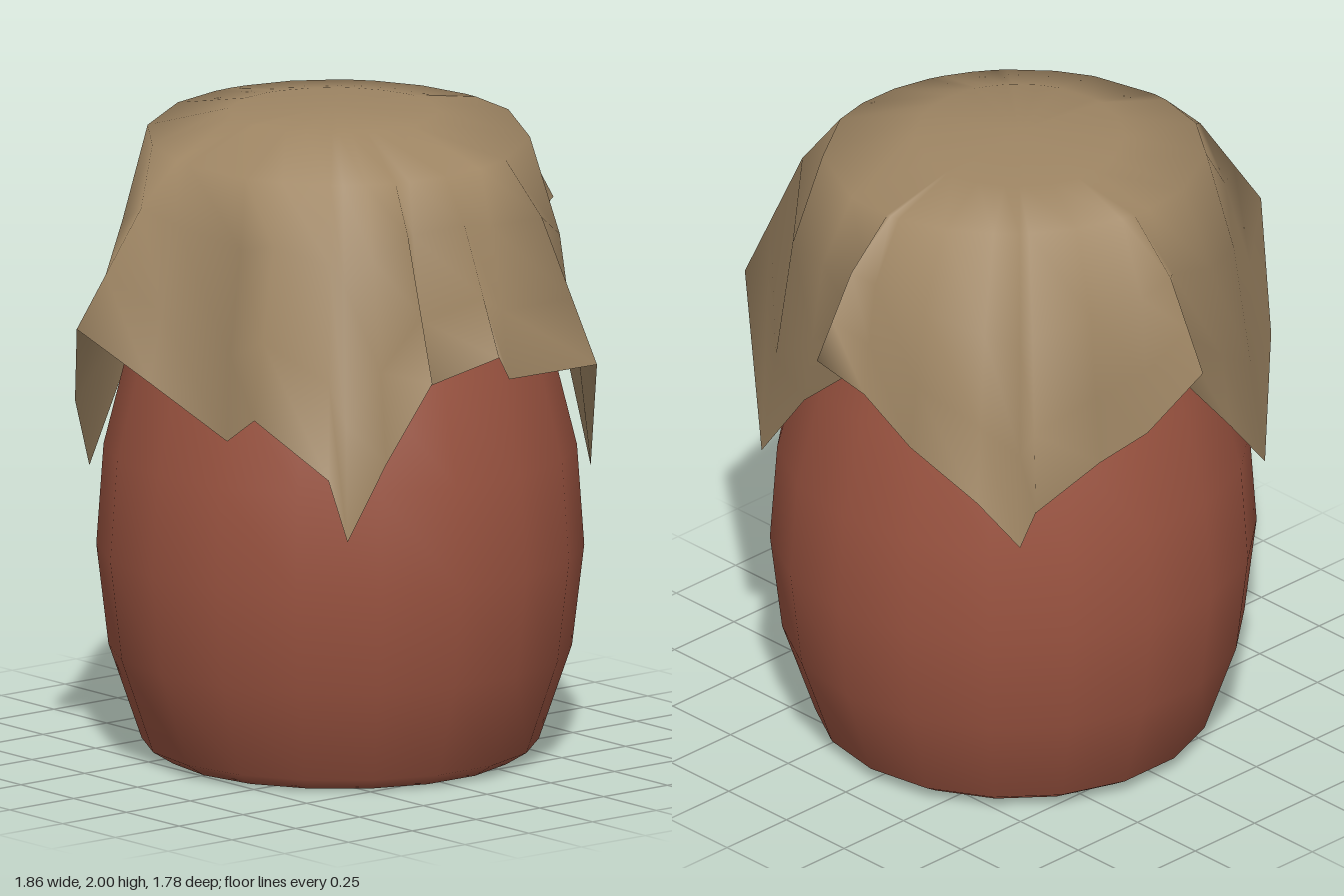
import * as THREE from 'three';

export function createModel() {
  const model = new THREE.Group();
  const clay = new THREE.MeshStandardMaterial({ color: 0x9a5340 });
  clay.name = 'terracotta';
  const fabric = new THREE.MeshStandardMaterial({ color: 0x9f8664, side: THREE.DoubleSide });
  fabric.name = 'tan cloth';

  // Bulging jar with a flat base
  const profile = [
    [0, 0], [0.535, 0], [0.6, 0.04], [0.7, 0.33], [0.737, 0.64], [0.715, 0.95],
    [0.64, 1.25], [0.54, 1.55], [0.46, 1.78], [0, 1.82],
  ].map(([r, y]) => new THREE.Vector2(r, y));
  const jar = new THREE.Mesh(new THREE.LatheGeometry(profile, 18), clay);
  jar.name = 'jar';
  jar.position.x = 0.045;
  jar.rotation.y = Math.PI / 2;
  model.add(jar);

  // Ragged hem of the cloth, anticlockwise from the front: x, y, z
  const hem = [
    [-0.06, 1.38, 0.88], [0.12, 1.26, 0.71], [0.34, 1.3, 0.86],
    [0.58, 0.9, 0.54], [0.75, 1.28, 0.18], [0.74, 1.46, -0.03],
    [0.93, 1.58, -0.06], [0.76, 1.41, -0.09], [0.79, 1.33, -0.32],
    [0.75, 1.22, -0.57], [0.56, 0.99, -0.56], [0.64, 1.2, -0.71],
    [0.37, 1.27, -0.71], [0.15, 1.28, -0.69], [0.11, 1.55, -0.89],
    [0.02, 1.42, -0.7], [-0.2, 1.17, -0.69], [-0.5, 0.87, -0.53],
    [-0.73, 1.14, -0.32], [-0.93, 1.43, -0.07], [-0.72, 1.25, 0.02],
    [-0.63, 1.1, 0.28], [-0.73, 1.22, 0.53], [-0.63, 1.06, 0.76],
    [-0.53, 0.85, 0.73], [-0.46, 1.1, 0.83], [-0.33, 1.34, 0.89],
    [-0.19, 1.27, 0.68],
  ];

  // Each hem point starts a column: two crown rings, shoulder, drape, hem
  const cx = 0.02, n = hem.length, rows = 5;
  const positions = [cx, 2, 0];
  for (const [x, y, z] of hem) {
    const dx = x - cx, reach = Math.hypot(dx, z);
    const nx = dx / reach, nz = z / reach;
    const flare = Math.max(0, reach - 0.72);
    const shoulderY = 1.92 - 0.3 * (1.92 - y);
    const shoulderR = 0.65 + 0.4 * flare + 0.03 * nx - 0.015 * nz;
    const drapeR = Math.max(0.69, THREE.MathUtils.lerp(shoulderR, reach, 0.55));
    const rings = [
      [0.32, 1.985], [0.58 + 0.02 * nz, 1.92 + 0.02 * nx - 0.03 * nz],
      [shoulderR, shoulderY],
      [drapeR, THREE.MathUtils.lerp(shoulderY, y, 0.55)], [reach, y],
    ];
    for (const [r, h] of rings) positions.push(cx + nx * r, h, nz * r);
  }
  const index = [];
  const at = (column, row) => 1 + (column % n) * rows + row;
  for (let c = 0; c < n; c++) {
    index.push(0, at(c, 0), at(c + 1, 0));
    for (let r = 0; r < rows - 1; r++) {
      const a = at(c, r), b = at(c, r + 1), d = at(c + 1, r), e = at(c + 1, r + 1);
      index.push(a, b, e, a, e, d);
    }
  }
  const cloth = new THREE.BufferGeometry();
  cloth.setAttribute('position', new THREE.Float32BufferAttribute(positions, 3));
  cloth.setIndex(index);
  cloth.computeVertexNormals();
  const cover = new THREE.Mesh(cloth, fabric);
  cover.name = 'clothCover';
  model.add(cover);
  return model;
}
